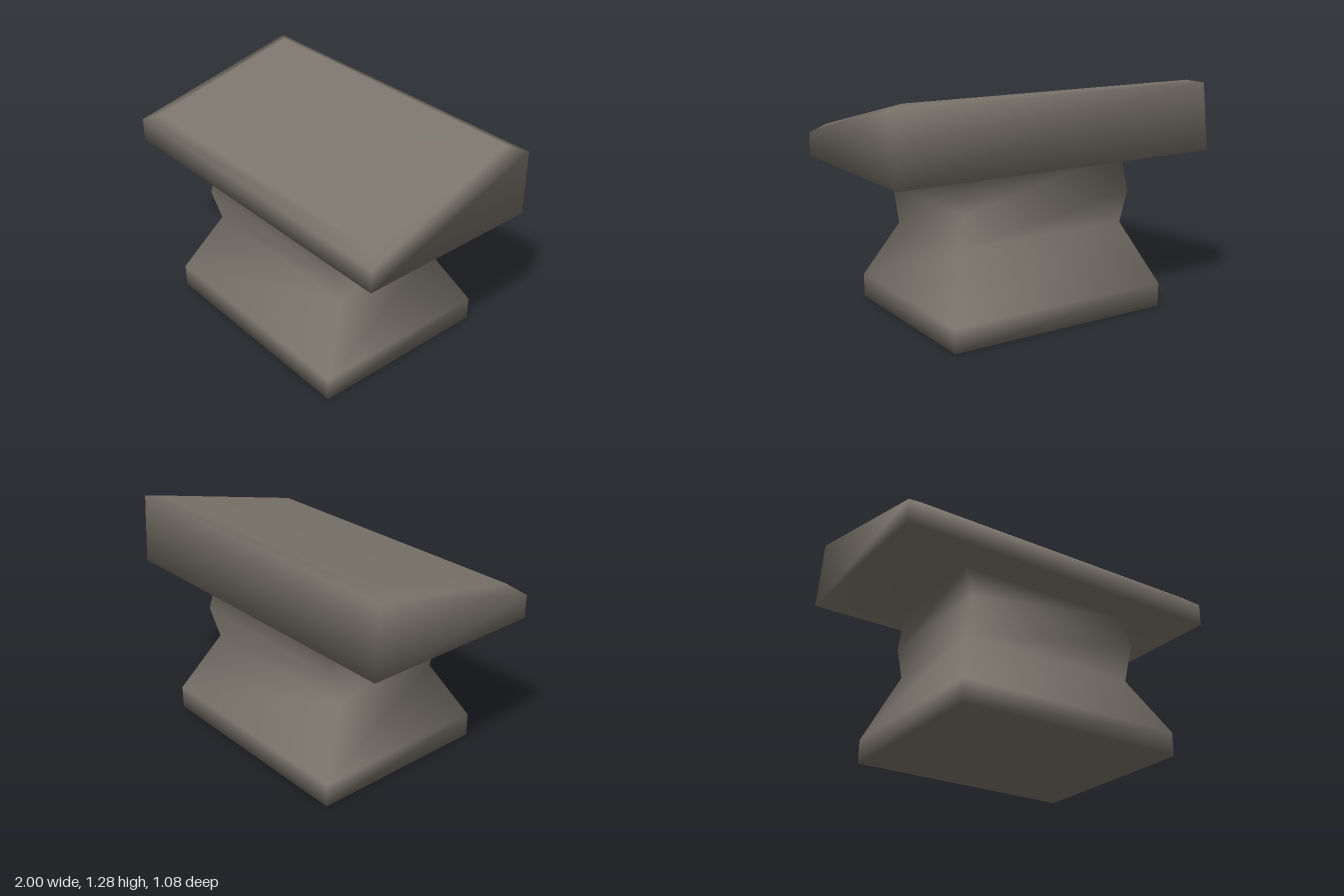
import * as THREE from 'three';

// Four-cornered ring, counter-clockwise from above: front left, back left, back right, front right.
// Front and back edges each have their own height, depth and x range.
const ring = (yFront, zFront, xFront, yBack = yFront, zBack = -zFront, xBack = xFront) => [
  xFront[1], yFront, zFront,
  xBack[1], yBack, zBack,
  xBack[0], yBack, zBack,
  xFront[0], yFront, zFront,
];

export function createModel() {
  const group = new THREE.Group();
  group.name = 'slopedStand';
  const stone = new THREE.MeshStandardMaterial({ color: 0x7c766d });
  stone.name = 'warm grey stone';

  const foot = [-0.665, 0.68], neck = [-0.53, 0.54], slab = [-1, 0.98];
  const rings = [
    ring(0, 0.54, foot),
    ring(0.135, 0.54, foot),
    ring(0.475, 0.338, neck),
    ring(0.675, 0.403, neck),
    ring(0.878, 0.335, neck),
    // sloping slab
    ring(0.878, 0.538, slab),
    ring(1.01, 0.538, slab, 1.265, -0.505, [-0.985, 1]),
    ring(1.06, 0.48, [-0.9, 0.9], 1.28, -0.45, [-0.9, 0.9]),
  ];

  // Walls between consecutive rings
  const walls = (from, to) => {
    const index = [];
    for (let r = from; r < to; r++) {
      for (let j = 0; j < 4; j++) {
        const a = r * 4 + j, b = r * 4 + ((j + 1) % 4);
        index.push(a, b, b + 4, a, b + 4, a + 4);
      }
    }
    return index;
  };
  const last = (rings.length - 1) * 4;
  const pedestalIndex = [0, 2, 1, 0, 3, 2, ...walls(0, 4)];
  const slabIndex = [...walls(4, 7), last, last + 1, last + 2, last, last + 2, last + 3];

  // Normals are smoothed across the whole body before it is divided into parts
  const body = new THREE.BufferGeometry();
  body.setAttribute('position', new THREE.Float32BufferAttribute(rings.flat(), 3));
  body.setIndex([...pedestalIndex, ...slabIndex]);
  body.computeVertexNormals();

  for (const [name, index] of [['pedestal', pedestalIndex], ['slopingTop', slabIndex]]) {
    const geometry = body.clone();
    geometry.setIndex(index);
    const mesh = new THREE.Mesh(geometry, stone);
    mesh.name = name;
    group.add(mesh);
  }
  return group;
}
